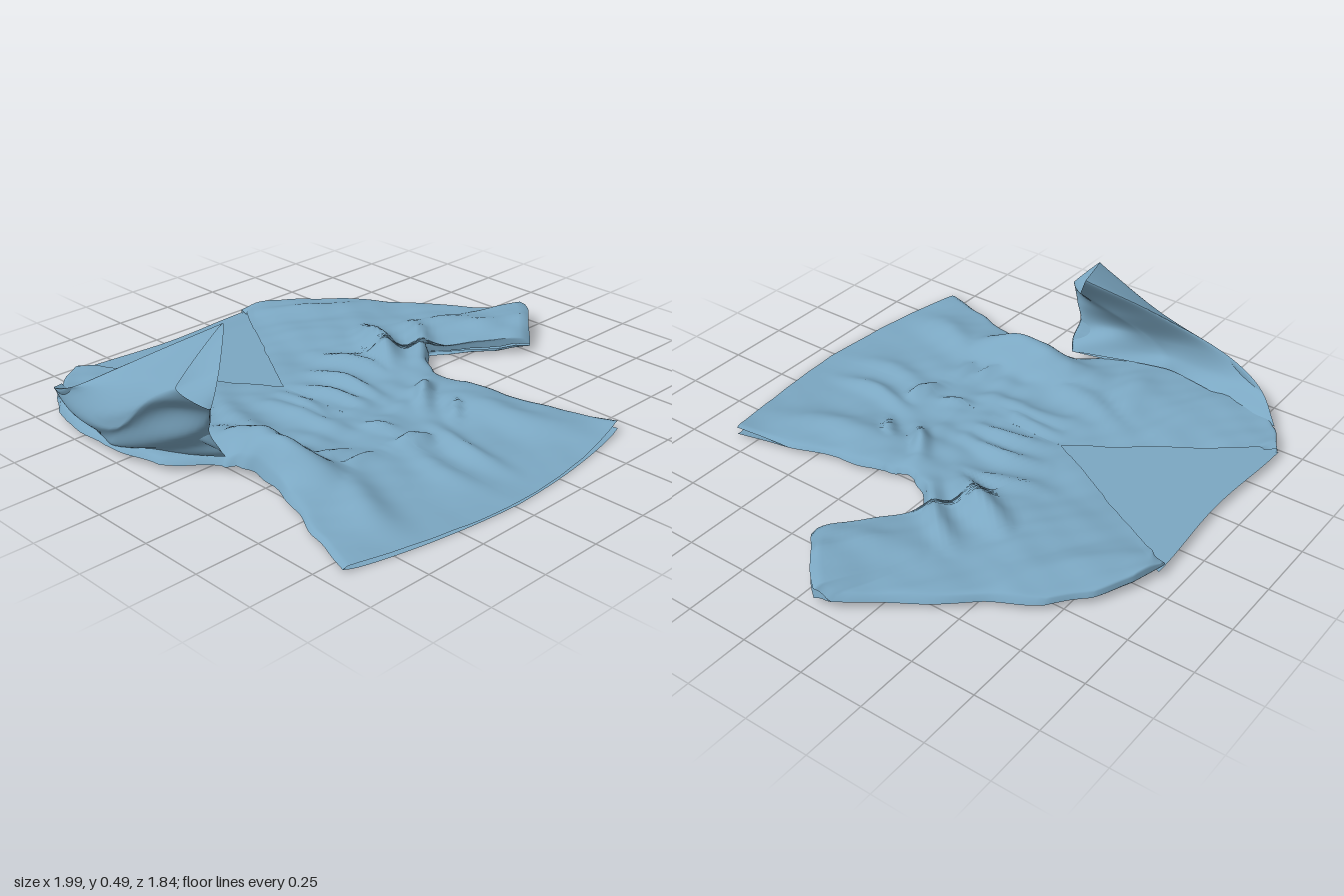
import * as THREE from 'three';

const { lerp, smoothstep } = THREE.MathUtils;
const cloth = new THREE.MeshStandardMaterial({ color: 0x7ba7c2, side: THREE.DoubleSide });

// Grid surface from a rule (u, v) -> [x, y, z]
function surface(rule, nu, nv) {
  const pos = [], idx = [];
  for (let j = 0; j <= nv; j++)
    for (let i = 0; i <= nu; i++) pos.push(...rule(i / nu, j / nv));
  for (let j = 0; j < nv; j++)
    for (let i = 0; i < nu; i++) {
      const a = j * (nu + 1) + i, b = a + nu + 1;
      idx.push(a, b, a + 1, a + 1, b, b + 1);
    }
  const g = new THREE.BufferGeometry();
  g.setAttribute('position', new THREE.Float32BufferAttribute(pos, 3));
  g.setIndex(idx);
  g.computeVertexNormals();
  return g;
}

// Rows of each half: inner x, inner z, edge x, edge z, opening at the edge
const leftHalf = [
  [0.125, -0.87, 0.14, -0.92, 0], [0.11, -0.845, 0.29, -0.88, 0], [0.09, -0.81, 0.42, -0.81, 0],
  [0.05, -0.74, 0.55, -0.70, 0], [0.02, -0.68, 0.66, -0.53, 0], [-0.02, -0.61, 0.81, -0.34, 0],
  [-0.036, -0.578, 0.96, -0.13, 0], [-0.04, -0.57, 0.99, -0.07, 0.04], [-0.07, -0.53, 0.87, 0.05, 0.06],
  [-0.09, -0.49, 0.74, 0.16, 0.01], [-0.16, -0.37, 0.42, -0.10, 0], [-0.23, -0.24, 0.32, 0.0, 0],
  [-0.23, 0.08, 0.265, 0.08, 0], [-0.23, 0.15, 0.265, 0.15, 0], [-0.23, 0.22, 0.30, 0.22, 0],
  [-0.23, 0.40, 0.325, 0.40, 0], [-0.23, 0.60, 0.38, 0.60, 0], [-0.23, 0.92, 0.43, 0.83, 0.03],
];
const rightHalf = [
  [-0.66, -0.88, -0.69, -0.92, 0], [-0.61, -0.81, -0.81, -0.85, 0], [-0.57, -0.75, -0.90, -0.76, 0],
  [-0.50, -0.645, -0.97, -0.60, 0], [-0.40, -0.495, -0.98, -0.35, 0], [-0.30, -0.345, -0.93, -0.10, 0],
  [-0.23, -0.24, -0.78, 0.06, 0], [-0.23, 0.10, -0.75, 0.12, 0], [-0.23, 0.22, -0.735, 0.22, 0],
  [-0.23, 0.40, -0.78, 0.40, 0], [-0.23, 0.60, -0.86, 0.60, 0], [-0.23, 0.92, -0.93, 0.81, 0],
];

// Folds: start x, z, end x, z, width, height
const folds = [
  [-0.67, -0.08, -0.61, 0.45, 0.08, 0.1], [-0.45, -0.40, -0.62, 0.10, 0.055, 0.025],
  [-0.37, -0.22, -0.33, 0.20, 0.04, 0.018], [-0.26, -0.22, -0.31, 0.08, 0.03, 0.02],
  [-0.20, -0.22, -0.11, 0.12, 0.035, 0.03], [-0.07, -0.28, -0.02, 0.10, 0.035, 0.03],
  [0.06, -0.36, 0.13, -0.02, 0.04, 0.03], [0.36, -0.40, 0.17, -0.06, 0.045, 0.07],
  [0.52, -0.30, 0.28, 0.02, 0.04, 0.04], [0.60, -0.25, 0.74, 0.05, 0.07, 0.025],
  [-0.54, 0.26, -0.40, 0.33, 0.025, 0.025], [-0.52, 0.38, -0.37, 0.40, 0.025, 0.025],
  [-0.30, 0.39, -0.14, 0.42, 0.03, 0.045], [-0.23, 0.18, -0.20, 0.32, 0.03, 0.025],
  [-0.01, 0.27, 0.17, 0.15, 0.03, 0.045], [0.01, 0.40, 0.13, 0.33, 0.025, 0.035],
  [-0.55, 0.30, -0.70, 0.80, 0.07, 0.03], [-0.25, 0.40, -0.28, 0.85, 0.05, 0.02],
  [-0.08, 0.35, -0.12, 0.80, 0.04, 0.025], [0.13, 0.25, 0.24, 0.80, 0.07, 0.025],
  [0.15, -0.82, 0.60, -0.50, 0.06, 0.02], [-0.90, -0.58, -0.45, -0.52, 0.08, 0.02],
  [0.02, -0.52, 0.50, -0.50, 0.08, 0.015], [-0.88, -0.22, -0.50, -0.35, 0.07, 0.025],
];
function foldHeight(x0, z0) {
  const x = x0 + 0.014 * Math.sin(14 * z0 + 3 * x0), z = z0 + 0.014 * Math.sin(12 * x0);
  let h = 0;
  for (const [ax, az, bx, bz, w, height] of folds) {
    const dx = bx - ax, dz = bz - az;
    const t = Math.min(1, Math.max(0, ((x - ax) * dx + (z - az) * dz) / (dx * dx + dz * dz)));
    const d2 = (x - ax - t * dx) ** 2 + (z - az - t * dz) ** 2;
    h = Math.max(h, height * (0.25 + 0.75 * Math.sin(Math.PI * t)) * Math.exp(-d2 / (w * w)));
  }
  return h + 0.004 * Math.sin(17 * x + 5 * z) * Math.sin(13 * z - 4 * x)
    + 0.002 * Math.sin(41 * x - 23 * z) * Math.sin(37 * z);
}

// Height of the lower layer: nearly flat, gathered at the waist, rising to the shoulders
function backHeight(x, z) {
  const waist = Math.exp(-(((z - 0.15) / 0.13) ** 2));
  return 0.015 - 0.006 * z - 0.006 * smoothstep(z, 0.4, 0.9) + 0.012 * (1 - smoothstep(z, -0.92, -0.8))
    + 0.01 * smoothstep(x, 0.85, 1)
    + waist * 0.008 * (1 + Math.sin(31 * x + 14 * z) * Math.cos(27 * z - 17 * x));
}

// One layer of one half, running from the neck and centre line out to the edge
function panel(rows, isFront) {
  const n = rows.length - 1;
  return surface((u, v) => {
    const k = Math.min(n - 1, Math.floor(v * n)), t = v * n - k;
    const [ix, iz, ex, ez, gap] = rows[k].map((a, m) => lerp(a, rows[k + 1][m], t));
    // Slightly crumpled outline and a rounded hem
    const crumple = 0.006 * u ** 8 * Math.sin(v * 75) * (1 - smoothstep(v, 0.9, 1));
    const x = lerp(ix, ex, u) + crumple;
    const z = lerp(iz, ez, u) + 0.08 * u * (1 - u) * smoothstep(v, 0.85, 1);
    let y = backHeight(x, z) + 0.01 * u ** 20;
    if (isFront) {
      const taper = Math.sqrt(1 - u ** 20) * smoothstep(v, -0.03, 0.03);
      const puff = (0.024 + 0.016 * smoothstep(Math.abs(x + 0.23), 0.2, 0.5))
        * (1 - 0.6 * smoothstep(z, 0.4, 0.9));
      const fade = 1 - 0.6 * smoothstep(z, 0.6, 0.92);
      y += taper * (puff + foldHeight(x, z) * fade) + gap * u ** 4;
    }
    return [x, y, z];
  }, 48, n * 7);
}

// Raised sleeve: stations of back, inner, front and outer points, armhole to cuff
const sleeveStations = [
  [[-0.82, 0.05, -0.84], [-0.90, 0.07, -0.32], [-0.78, 0.07, 0.08], [-0.95, 0.02, -0.35]],
  [[-0.94, 0.11, -0.71], [-0.92, 0.12, -0.28], [-0.81, 0.12, 0.10], [-0.98, 0.06, -0.30]],
  [[-0.96, 0.195, -0.54], [-0.90, 0.19, -0.20], [-0.86, 0.18, 0.09], [-1.0, 0.16, -0.20]],
  [[-0.85, 0.335, -0.29], [-0.82, 0.29, -0.08], [-0.87, 0.25, 0.12], [-0.99, 0.31, -0.06]],
  [[-0.67, 0.495, -0.04], [-0.76, 0.37, 0.04], [-0.90, 0.32, 0.16], [-0.98, 0.40, 0.09]],
];
function raisedSleeve() {
  const rails = [0, 1, 2, 3].map(c =>
    new THREE.CatmullRomCurve3(sleeveStations.map(s => new THREE.Vector3(...s[c]))));
  return surface((u, v) => {
    const loop = new THREE.CatmullRomCurve3(rails.map(r => r.getPoint(v)), true, 'catmullrom', 0.2);
    const p = loop.getPoint(u % 1);
    const crease = 0.009 * Math.sin(u * Math.PI * 10 + v * 9) * Math.sin(v * Math.PI);
    return [Math.max(-1, p.x + crease), p.y + crease, p.z];
  }, 48, 30);
}

// Back of the neck, visible inside the V opening and tucked under both fronts
function neckPanel() {
  return surface((u, v) => {
    const x = lerp(lerp(-0.70, 0.18, u), -0.23, v);
    const top = -0.91 + 0.012 * Math.cos(u * Math.PI * 2 - Math.PI);
    const z = lerp(top, -0.22, v);
    return [x, backHeight(x, z) + 0.002, z];
  }, 30, 24);
}

export function createModel() {
  const group = new THREE.Group();
  const add = (name, geometry) => {
    const mesh = new THREE.Mesh(geometry, cloth);
    mesh.name = name;
    group.add(mesh);
  };
  add('leftFrontAndSleeve', panel(leftHalf, true));
  add('leftBackAndSleeve', panel(leftHalf, false));
  add('rightFront', panel(rightHalf, true));
  add('rightBack', panel(rightHalf, false));
  add('backNeck', neckPanel());
  add('raisedRightSleeve', raisedSleeve());
  return group;
}
